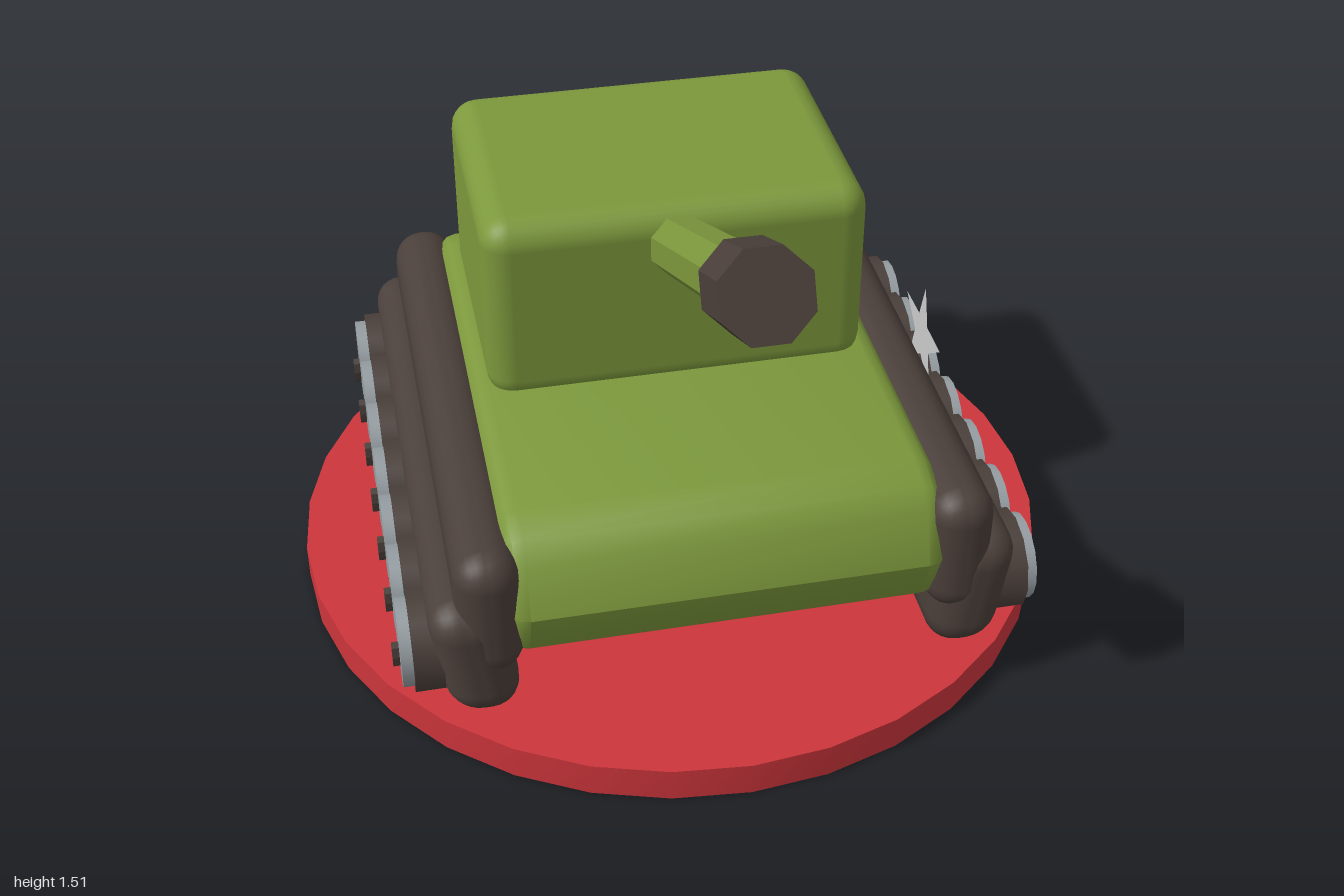
import * as THREE from 'three';
import { toCreasedNormals } from 'three/addons/utils/BufferGeometryUtils.js';
import { RoundedBoxGeometry } from 'three/addons/geometries/RoundedBoxGeometry.js';

function paint(name, color, side = THREE.FrontSide) {
  const m = new THREE.MeshStandardMaterial({ color, side });
  m.name = name;
  return m;
}

export function createModel() {
  const green = paint('olive green', 0x7c983c);
  const dark = paint('dark brown', 0x4a3f3a);
  const steel = paint('steel grey', 0x959da2);
  const red = paint('red', 0xcc353b);
  const pale = paint('pale grey', 0xcacaca, THREE.DoubleSide);

  const model = new THREE.Group();
  model.name = 'tank';
  const add = (parent, name, geo, mat, x = 0, y = 0, z = 0) => {
    const mesh = new THREE.Mesh(geo, mat);
    mesh.name = name;
    mesh.position.set(x, y, z);
    parent.add(mesh);
    return mesh;
  };
  const cylinder = (r, h, sides) => toCreasedNormals(new THREE.CylinderGeometry(r, r, h, sides), 0.6);

  // Round base plate
  add(model, 'base', cylinder(0.982, 0.09, 32), red, 0, 0.045, -0.02);

  // Hull: side profile (z, y) extruded across the width with rounded flanks
  const profile = [
    [0.735, 0.43], [0.69, 0.55], [0.64, 0.6], [0.56, 0.62],
    [-0.6, 0.62], [-0.68, 0.6], [-0.73, 0.55], [-0.77, 0.43],
    [-0.73, 0.31], [-0.685, 0.265], [-0.615, 0.24],
    [0.58, 0.24], [0.65, 0.265], [0.695, 0.31],
  ].map(([z, y]) => new THREE.Vector2(z, y));
  const hull = new THREE.ExtrudeGeometry(new THREE.Shape(profile), {
    depth: 0.96, bevelEnabled: true, bevelThickness: 0.05,
    bevelSize: 0.05, bevelOffset: -0.05, bevelSegments: 3,
  });
  hull.translate(0, 0, -0.48).rotateY(-Math.PI / 2);
  add(model, 'hull', toCreasedNormals(hull, 0.66), green);

  // Turret
  add(model, 'turret', new RoundedBoxGeometry(0.965, 0.52, 0.7, 3, 0.07), green, 0, 0.84, -0.24);

  // Raised gun, built along +z and then tilted upward
  const gun = new THREE.Group();
  gun.name = 'gun';
  gun.position.set(0, 0.948, 0);
  gun.rotation.x = -Math.atan(0.5);
  model.add(gun);
  const alongZ = (r, length) => {
    const g = new THREE.CylinderGeometry(r, r, length, 8);
    return toCreasedNormals(g.rotateY(Math.PI / 8).rotateX(Math.PI / 2), 0.6);
  };
  add(gun, 'barrel', alongZ(0.078, 0.87), green, 0, 0, 0.455);
  add(gun, 'muzzle', alongZ(0.108, 0.19), dark, 0, 0, 0.972);

  // Rounded track slab whose top leans outward by a shear
  const slab = (width, height, radius, lean) => {
    const g = new RoundedBoxGeometry(width, height, 1.495, 3, radius);
    g.applyMatrix4(new THREE.Matrix4().makeShear(0, 0, lean, 0, 0, 0));
    return g;
  };
  const alongX = (r, length, sides) => cylinder(r, length, sides).rotateZ(Math.PI / 2);

  for (const s of [1, -1]) {
    const track = new THREE.Group();
    track.name = s > 0 ? 'leftTrack' : 'rightTrack';
    model.add(track);
    add(track, 'upperTrack', slab(0.16, 0.35, 0.075, 0), dark, s * 0.57, 0.425, -0.0125);
    const lower = slab(0.18, 0.33, 0.08, 0);
    const p = lower.attributes.position;
    for (let i = 0; i < p.count; i++) p.setX(i, p.getX(i) + s * 0.15 * p.getY(i));
    lower.computeBoundingSphere();
    add(track, 'lowerTrack', lower, dark, s * 0.61, 0.295, -0.0125);

    // Seven road wheels with rims and hub caps
    for (let i = -3; i <= 3; i++) {
      const z = -0.012 + i * 0.194;
      add(track, 'wheelRim', alongX(0.126, 0.155, 12), dark, s * 0.6775, 0.268, z);
      add(track, 'wheelDisc', alongX(0.108, 0.06, 16), steel, s * 0.753, 0.27, z);
      const hub = add(track, 'hub', alongX(0.04, 0.05, 8), dark, s * 0.775, 0.232, z);
      hub.scale.z = 0.4;
    }
  }

  // Five-pointed star plate on the left flank
  const star = new THREE.Shape();
  for (let i = 0; i < 10; i++) {
    const r = i % 2 ? 0.062 : 0.155;
    const a = Math.PI / 2 + (i * Math.PI) / 5;
    star[i ? 'lineTo' : 'moveTo'](r * Math.cos(a), r * Math.sin(a));
  }
  star.closePath();
  add(model, 'star', new THREE.ShapeGeometry(star).rotateY(Math.PI / 2), pale, 0.722, 0.468, -0.123);

  return model;
}
